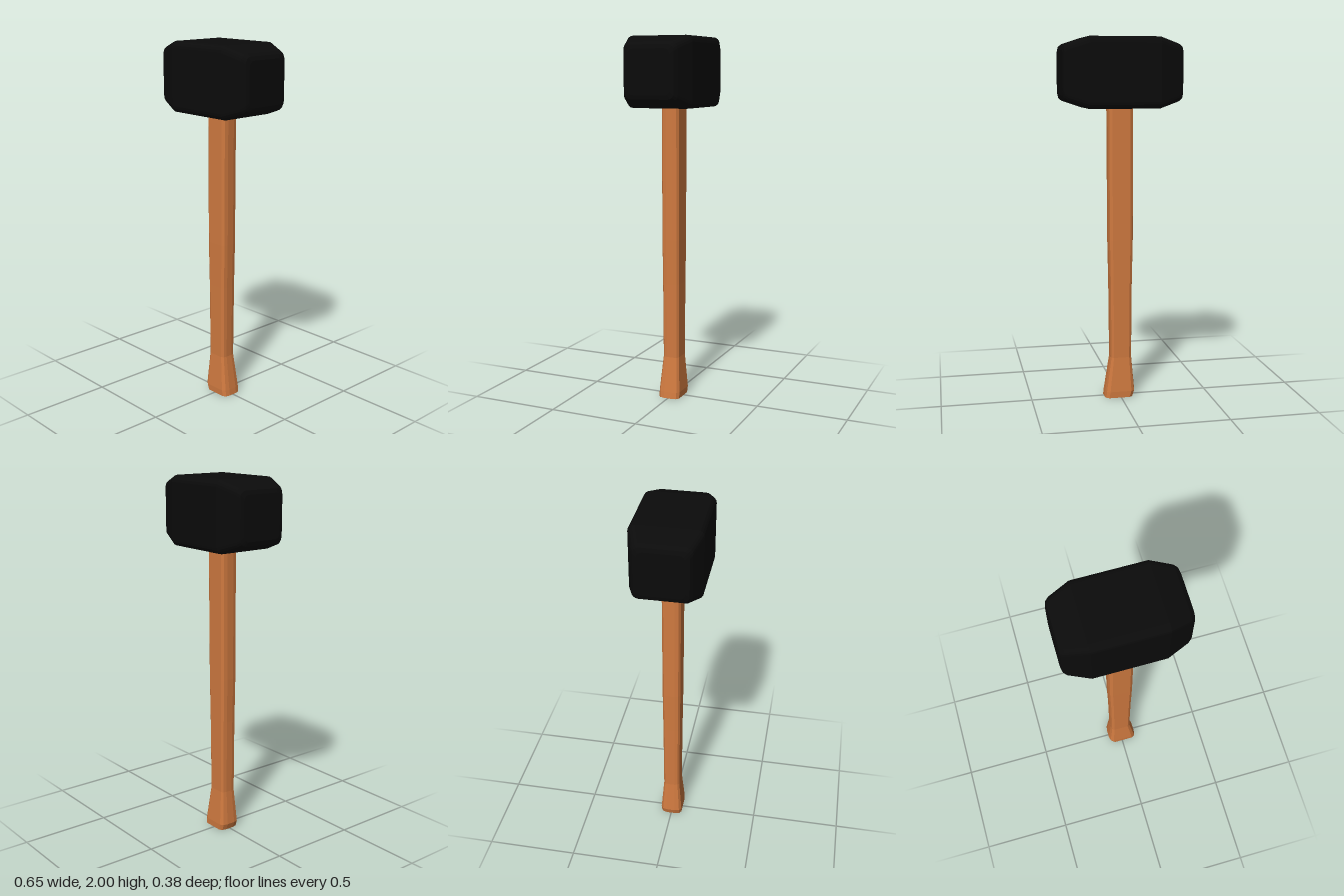
import * as THREE from 'three';

// Skin a list of equal-length rings and close both ends.
function loft(rings) {
  const n = rings[0].length;
  const pos = rings.flat(2);
  const idx = [];
  for (let r = 0; r < rings.length - 1; r++) {
    for (let i = 0; i < n; i++) {
      const j = (i + 1) % n;
      const a = r * n + i, b = r * n + j;
      idx.push(a, a + n, b + n, a, b + n, b);
    }
  }
  const last = (rings.length - 1) * n;
  for (let i = 1; i < n - 1; i++) {
    idx.push(0, i, i + 1, last, last + i + 1, last + i);
  }
  const geo = new THREE.BufferGeometry();
  geo.setAttribute('position', new THREE.Float32BufferAttribute(pos, 3));
  geo.setIndex(idx);
  const flat = geo.toNonIndexed();
  flat.computeVertexNormals();
  return flat;
}

// Rounded square of half-size h and corner radius r, as [u, v] pairs.
function roundedSquare(h, r, steps = 4) {
  const pts = [];
  for (let c = 0; c < 4; c++) {
    const mid = Math.PI / 4 + c * Math.PI / 2;
    const cu = Math.sign(Math.cos(mid)) * (h - r);
    const cv = Math.sign(Math.sin(mid)) * (h - r);
    for (let s = 0; s <= steps; s++) {
      const t = (c + s / steps) * Math.PI / 2;
      pts.push([cu + Math.cos(t) * r, cv + Math.sin(t) * r]);
    }
  }
  return pts;
}

// Twelve-sided flattened grip section, as unit [x, z] pairs.
function gripSection() {
  const q = [[1, 0.4], [0.93, 0.8], [0.72, 1]];
  const mirrored = [...q].reverse().map(([x, z]) => [-x, z]);
  const half = [...q, ...mirrored];
  return [...half, ...half.map(([x, z]) => [-x, -z])];
}

export function createModel() {
  const group = new THREE.Group();
  const add = (name, geometry, color) => {
    const mesh = new THREE.Mesh(geometry, new THREE.MeshStandardMaterial({ color, flatShading: true }));
    mesh.name = name;
    group.add(mesh);
  };

  // Head: square block tapering to rounded striking faces: [x, half-size, corner radius]
  const taper = [[0.19, 0.188, 0.035], [0.3, 0.152, 0.035], [0.318, 0.139, 0.035], [0.325, 0.118, 0.03]];
  const stations = [...taper.map(([x, h, r]) => [-x, h, r]).reverse(), ...taper];
  add('head', loft(stations.map(([x, h, r]) =>
    roundedSquare(h, r).map(([z, y]) => [x, 1.812 + y, z]))), 0x0b0b0b);

  // Handle: faceted shaft with a flared, slightly hooked butt: [y, left x, right x, half depth]
  const section = gripSection();
  const shaft = [
    [0, -0.07, 0.09, 0.06],
    [0.035, -0.081, 0.086, 0.061],
    [0.23, -0.064, 0.056, 0.046],
    [0.65, -0.067, 0.06, 0.048],
    [0.9, -0.072, 0.065, 0.05],
    [1.7, -0.072, 0.069, 0.051],
  ];
  add('handle', loft(shaft.map(([y, x0, x1, d]) =>
    section.map(([x, z]) => [(x0 + x1) / 2 + x * (x1 - x0) / 2, y, z * d]))), 0xd07a40);

  return group;
}
